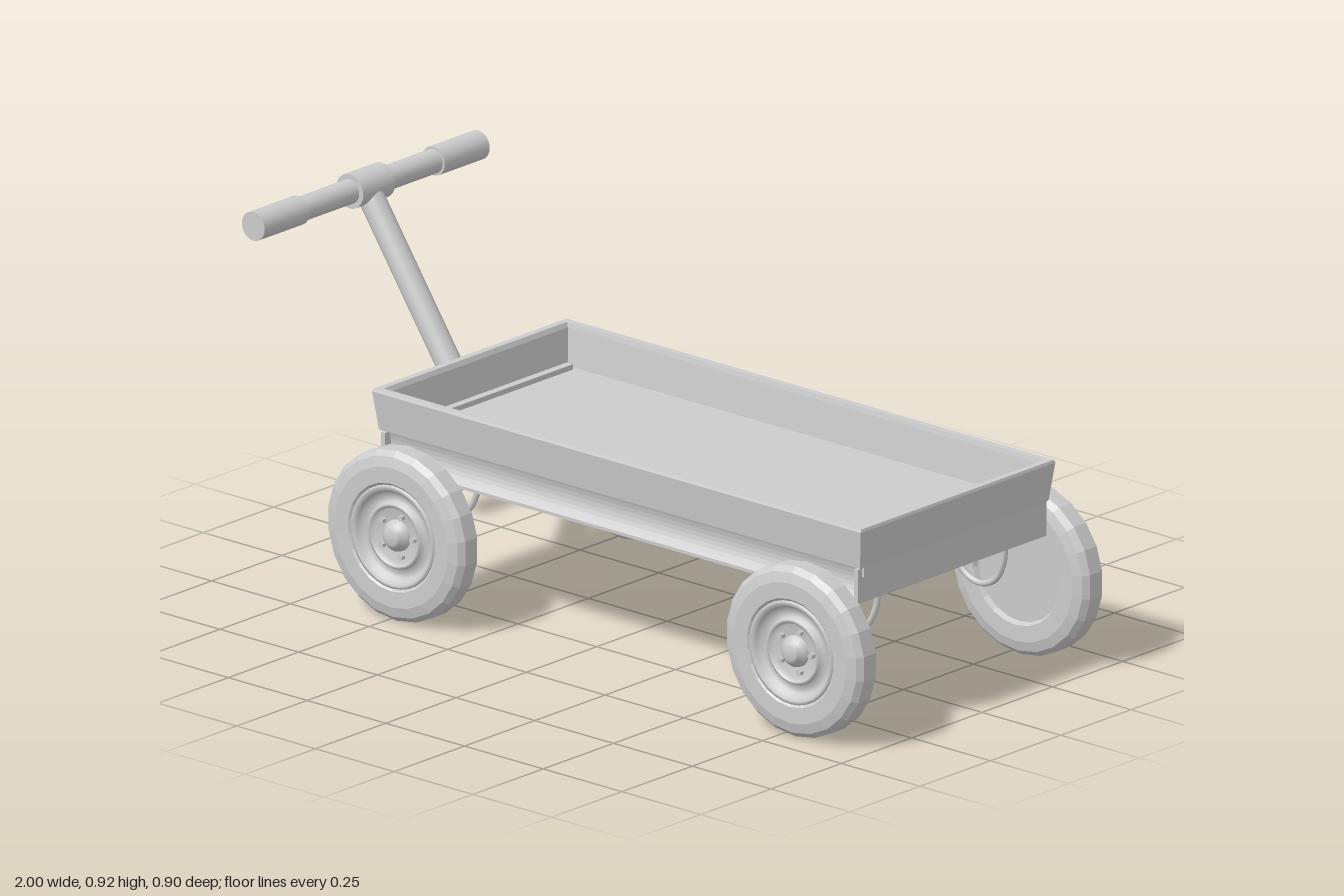
import * as THREE from 'three';

const mat = new THREE.MeshStandardMaterial({ color: 0xcccccc });
const flat = new THREE.MeshStandardMaterial({ color: 0xcccccc, flatShading: true });
const CX = 0.148; // middle of the tray along x

function part(name, geometry, parent, material = mat, pos = [0, 0, 0]) {
  const m = new THREE.Mesh(geometry, material);
  m.name = name;
  m.position.set(...pos);
  parent.add(m);
  return m;
}

// Skin over stacked rectangles given as [halfX, y, halfZ]
function rectLoft(loops) {
  const corners = [[1, 1], [1, -1], [-1, -1], [-1, 1]];
  const pos = [], idx = [];
  for (const [hx, y, hz] of loops) for (const [sx, sz] of corners) pos.push(sx * hx, y, sz * hz);
  for (let l = 0; l < loops.length - 1; l++) {
    for (let i = 0; i < 4; i++) {
      const a = l * 4 + i, b = l * 4 + (i + 1) % 4;
      idx.push(a, b, b + 4, a, b + 4, a + 4);
    }
  }
  const g = new THREE.BufferGeometry();
  g.setAttribute('position', new THREE.Float32BufferAttribute(pos, 3));
  g.setIndex(idx);
  return g;
}

function lathe(points, segments) {
  return new THREE.LatheGeometry(points.map(p => new THREE.Vector2(...p)), segments);
}

function createTray() {
  const tray = new THREE.Group();
  tray.name = 'tray';
  tray.position.x = CX;

  // Flared walls, rim and floor
  part('flaredWalls', rectLoft([
    [0.758, 0.42, 0.32], [0.764, 0.425, 0.335], [0.776, 0.52, 0.346], [0.774, 0.527, 0.343],
    [0.757, 0.527, 0.326], [0.752, 0.515, 0.323], [0.742, 0.424, 0.312], [0, 0.424, 0],
  ]), tray, flat);
  part('floorRidge', new THREE.BoxGeometry(0.02, 0.014, 0.6), tray, mat, [-0.725, 0.43, 0]);

  // Base with hollowed long sides
  const s = new THREE.Shape();
  s.moveTo(-0.335, 0.335);
  s.lineTo(0.335, 0.335);
  s.lineTo(0.335, 0.343);
  s.quadraticCurveTo(0.3, 0.375, 0.322, 0.424);
  s.lineTo(-0.322, 0.424);
  s.quadraticCurveTo(-0.3, 0.375, -0.335, 0.343);
  const base = new THREE.ExtrudeGeometry(s, { depth: 1.5, bevelEnabled: false, curveSegments: 8 });
  base.translate(0, 0, -0.75).rotateY(Math.PI / 2);
  part('base', base, tray);

  // Plates closing the base, with the end walls lapping over them
  for (const side of [-1, 1]) {
    part('endPlate', new THREE.BoxGeometry(0.012, 0.085, 0.67), tray, mat, [side * 0.751, 0.3775, 0]);
    part('endLap', new THREE.BoxGeometry(0.014, 0.03, 0.64), tray, mat, [side * 0.756, 0.414, 0]);
  }
  return tray;
}

function createWheel(x, side) {
  const wheel = new THREE.Group();
  wheel.name = 'wheel';
  wheel.position.set(x, 0.213, side * 0.402);
  wheel.rotation.y = 0.035;
  const spin = new THREE.Group();
  spin.rotation.x = side * Math.PI / 2; // local +y points outwards
  wheel.add(spin);

  // Tyre with flat inner disc
  part('tyre', lathe([
    [0, -0.03], [0.128, -0.03], [0.135, -0.042], [0.175, -0.043], [0.2, -0.036], [0.213, -0.022],
    [0.213, 0.022], [0.2, 0.036], [0.175, 0.043], [0.135, 0.042], [0.126, 0.034],
  ], 22), spin, flat);
  // Rim dish
  part('rim', lathe([
    [0.13, 0.03], [0.128, 0.04], [0.12, 0.041], [0.112, 0.034], [0.105, 0.02], [0.085, 0.018],
    [0.08, 0.032], [0.073, 0.034], [0.066, 0.02], [0, 0.018],
  ], 32), spin);
  // Hub and axle cap
  part('hub', lathe([
    [0.04, 0.015], [0.037, 0.03], [0.028, 0.032], [0.026, 0.042], [0.018, 0.047], [0, 0.048],
  ], 24), spin);
  // Lug nuts
  for (let i = 0; i < 5; i++) {
    const a = i * Math.PI * 2 / 5;
    part('lugNut', new THREE.CylinderGeometry(0.008, 0.008, 0.014, 6), spin, flat,
      [0.052 * Math.cos(a), 0.024, 0.052 * Math.sin(a)]);
  }
  return wheel;
}

// U-shaped loop below the tray
function createHook(x, side) {
  const curve = new THREE.CatmullRomCurve3([
    [-0.085, 0.345, 0.225], [-0.08, 0.29, 0.227], [-0.052, 0.238, 0.23], [0, 0.217, 0.231],
    [0.052, 0.238, 0.23], [0.08, 0.29, 0.227], [0.085, 0.345, 0.225],
  ].map(([px, y, z]) => new THREE.Vector3(x + px, y, side * z)));
  const hook = new THREE.Mesh(new THREE.TubeGeometry(curve, 28, 0.008, 8), mat);
  hook.name = 'axleHook';
  return hook;
}

function createHandle() {
  const handle = new THREE.Group();
  handle.name = 'handle';
  const top = new THREE.Vector3(-0.957, 0.872, 0);
  const foot = new THREE.Vector3(-0.563, 0.297, 0);

  // Slanted shaft
  const dir = top.clone().sub(foot);
  const shaft = part('handleShaft', new THREE.CylinderGeometry(0.032, 0.032, dir.length(), 24), handle);
  shaft.position.copy(top).add(foot).multiplyScalar(0.5);
  shaft.quaternion.setFromUnitVectors(new THREE.Vector3(0, 1, 0), dir.normalize());

  // Crossbar, collar and grips along z
  const rod = (name, r, length, z) => {
    const g = new THREE.CylinderGeometry(r, r, length, 24).rotateX(Math.PI / 2);
    part(name, g, handle, mat, [top.x, top.y, z]);
  };
  rod('crossbar', 0.03, 0.6, 0);
  rod('collar', 0.043, 0.114, 0);
  for (const side of [-1, 1]) rod('grip', 0.036, 0.16, side * 0.32);
  return handle;
}

export function createModel() {
  const wagon = new THREE.Group();
  wagon.name = 'wagon';
  wagon.add(createTray(), createHandle());
  for (const x of [-0.48, 0.786]) {
    for (const side of [-1, 1]) wagon.add(createWheel(x, side), createHook(x, side));
  }
  // Flat normals for the lofted walls
  wagon.traverse(o => {
    if (o.isMesh && !o.geometry.attributes.normal) o.geometry.computeVertexNormals();
  });
  return wagon;
}
